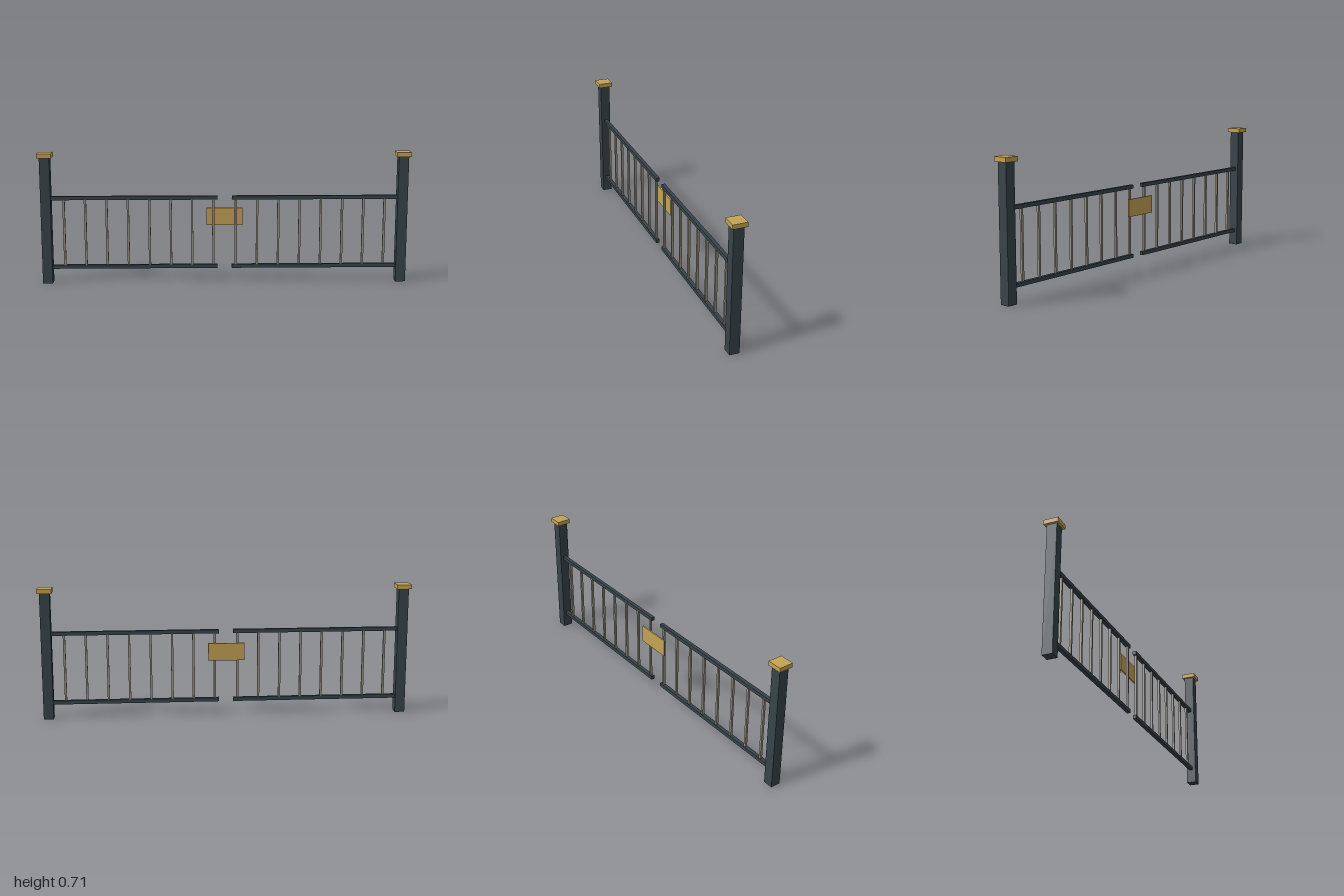
import * as THREE from 'three';

export function createModel() {
  const group = new THREE.Group();
  group.name = 'doubleGate';

  const mat = (name, color) => {
    const m = new THREE.MeshStandardMaterial({ color });
    m.name = name;
    return m;
  };
  const slate = mat('dark slate', 0x38444a);
  const brass = mat('brass', 0xc6a355);
  const stone = mat('warm grey', 0x989082);

  const box = (parent, name, material, size, pos) => {
    const mesh = new THREE.Mesh(new THREE.BoxGeometry(...size), material);
    mesh.name = name;
    mesh.position.set(...pos);
    parent.add(mesh);
  };

  for (const side of [-1, 1]) {
    const half = new THREE.Group();
    half.name = side > 0 ? 'leftHalf' : 'rightHalf';
    group.add(half);

    // Gate post with its square cap
    box(half, 'post', slate, [0.054, 0.688, 0.054], [side * 0.961, 0.344, 0]);
    box(half, 'postCap', brass, [0.078, 0.024, 0.078], [side * 0.961, 0.7, 0]);

    // Top and bottom rails, from the post to the centre gap
    for (const [name, y] of [['topRail', 0.466], ['bottomRail', 0.087]]) {
      box(half, name, slate, [0.9, 0.02, 0.02], [side * 0.489, y, 0]);
    }

    // Evenly spaced balusters between the rails
    for (let i = 0; i < 8; i++) {
      box(half, 'baluster', stone, [0.012, 0.36, 0.012], [side * (0.061 + i * 0.1152), 0.2765, 0]);
    }
  }

  // Plain plate behind the centre gap
  box(group, 'plate', brass, [0.195, 0.095, 0.008], [0, 0.357, -0.0235]);

  return group;
}
